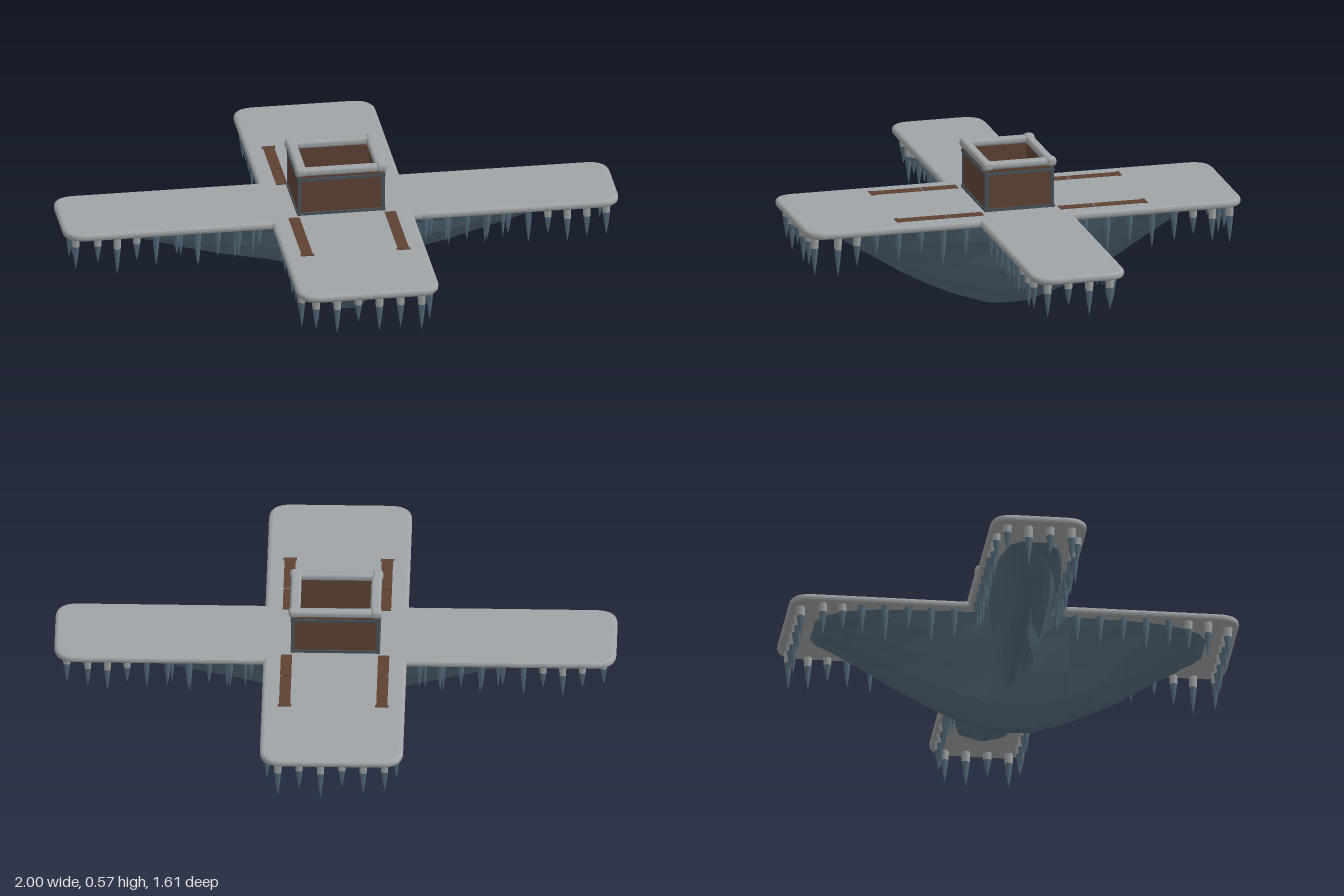
import * as THREE from 'three';
import { mergeGeometries } from 'three/addons/utils/BufferGeometryUtils.js';
import { RoundedBoxGeometry } from 'three/addons/geometries/RoundedBoxGeometry.js';

const DECK_LOW = 0.357;

// small seeded generator, 0..1
function seeded(seed) {
  return () => {
    seed = (seed * 16807) % 2147483647;
    return seed / 2147483647;
  };
}

// cross outline with rounded outer corners
function crossShape(ax, az, bx, bz, r) {
  const s = new THREE.Shape();
  s.moveTo(bx, -az);
  s.lineTo(ax - r, -az);
  s.quadraticCurveTo(ax, -az, ax, -az + r);
  s.lineTo(ax, az - r);
  s.quadraticCurveTo(ax, az, ax - r, az);
  s.lineTo(bx, az);
  s.lineTo(bx, bz - r);
  s.quadraticCurveTo(bx, bz, bx - r, bz);
  s.lineTo(-bx + r, bz);
  s.quadraticCurveTo(-bx, bz, -bx, bz - r);
  s.lineTo(-bx, az);
  s.lineTo(-ax + r, az);
  s.quadraticCurveTo(-ax, az, -ax, az - r);
  s.lineTo(-ax, -az + r);
  s.quadraticCurveTo(-ax, -az, -ax + r, -az);
  s.lineTo(-bx, -az);
  s.lineTo(-bx, -bz + r);
  s.quadraticCurveTo(-bx, -bz, -bx + r, -bz);
  s.lineTo(bx - r, -bz);
  s.quadraticCurveTo(bx, -bz, bx, -bz + r);
  s.closePath();
  return s;
}

// faceted keel: half stations are [distance, half width, depth], mirrored end to end
function keelGeometry(half, power, seed) {
  const rand = seeded(seed);
  const stations = [
    ...half.map(([d, w, h]) => [-d, w, h]),
    ...half.slice(0, -1).reverse(),
  ];
  const across = [-1, -0.85, -0.62, -0.36, -0.1, 0.1, 0.36, 0.62, 0.85, 1];
  const n = across.length, pos = [], idx = [];
  stations.forEach(([d, w, h], i) => across.forEach((t, j) => {
    const rim = j === 0 || j === n - 1;
    const bump = rim || h === 0 ? 0 : (rand() - 0.5) * 0.014;
    const drop = h * (1 - Math.max(0, Math.abs(t) - 0.08) ** power / 0.92 ** power);
    pos.push(t * w + bump, Math.max(0, DECK_LOW - drop + bump * 0.4), d + bump);
    if (i < stations.length - 1 && j < n - 1) {
      const a = i * n + j, b = a + 1, c = a + n, e = c + 1;
      idx.push(a, b, c, b, e, c);
    }
  }));
  const g = new THREE.BufferGeometry();
  g.setAttribute('position', new THREE.Float32BufferAttribute(pos, 3));
  g.setIndex(idx);
  const flat = g.toNonIndexed();
  flat.computeVertexNormals();
  return flat;
}

export function createModel() {
  const model = new THREE.Group();
  const mat = (name, color) => {
    const m = new THREE.MeshStandardMaterial({ color });
    m.name = name;
    return m;
  };
  const stone = mat('pale grey', 0x9fa3a5);
  const ice = mat('slate blue', 0x536a7a);
  const wood = mat('brown wood', 0x5e4233);
  const iron = mat('dark iron', 0x48535b);

  const add = (name, geometry, material, x = 0, y = 0, z = 0, parent = model) => {
    const m = new THREE.Mesh(geometry, material);
    m.name = name;
    m.position.set(x, y, z);
    parent.add(m);
    return m;
  };
  const box = (name, w, h, d, material, x, y, z, parent) =>
    add(name, new THREE.BoxGeometry(w, h, d), material, x, y, z, parent);

  // cross-shaped deck with softened edge
  const deck = new THREE.ExtrudeGeometry(crossShape(1, 0.172, 0.255, 0.805, 0.08), {
    depth: 0.006, bevelEnabled: true, bevelThickness: 0.011, bevelSize: 0.014,
    bevelOffset: -0.014, bevelSegments: 3, curveSegments: 8,
  });
  deck.rotateX(-Math.PI / 2);
  add('deck', deck, stone, 0, DECK_LOW + 0.011, 0);

  // long and crossing keels
  add('longKeel', keelGeometry([
    [0.7, 0.08, 0], [0.67, 0.13, 0.035], [0.6, 0.175, 0.085], [0.5, 0.2, 0.15],
    [0.4, 0.21, 0.21], [0.3, 0.215, 0.265], [0.2, 0.22, 0.31], [0.08, 0.22, 0.352], [0, 0.22, 0.357],
  ], 1.4, 71), ice);
  add('crossKeel', keelGeometry([
    [0.83, 0.05, 0], [0.8, 0.085, 0.025], [0.7, 0.11, 0.07], [0.55, 0.125, 0.112],
    [0.4, 0.13, 0.15], [0.25, 0.13, 0.19], [0.12, 0.13, 0.224], [0, 0.13, 0.23],
  ], 1.5, 913), ice).rotation.y = Math.PI / 2;

  // icicles around the deck edge, each with a pale root and a slate tip
  const rand = seeded(4217);
  const roots = [], tips = [];
  const lathe = (points, x, z) => {
    const g = new THREE.LatheGeometry(points.map(([r, y]) => new THREE.Vector2(r, y)), 6);
    g.translate(x, DECK_LOW, z);
    return g;
  };
  const icicle = (x, z, length, r, pale) => {
    const neck = [r * 0.9, -length * 0.3];
    (pale ? roots : tips).push(lathe([neck, [r, 0]], x, z));
    tips.push(lathe([[0.0005, -length], [r * 0.5, -length * 0.68], neck], x, z));
  };
  const row = (x0, z0, x1, z1, spacing, r, size, pale) => {
    const n = Math.round(Math.hypot(x1 - x0, z1 - z0) / spacing);
    for (let i = 0; i <= n; i++) {
      const t = i / n;
      const length = ((i % 2 ? 0.115 : 0.085) + rand() * 0.04) * size;
      icicle(x0 + (x1 - x0) * t, z0 + (z1 - z0) * t, length, r, pale);
    }
  };
  for (const s of [-1, 1]) {
    row(s * 0.955, -0.115, s * 0.955, 0.115, 0.075, 0.016, 1.05, true);
    row(-0.19, s * 0.765, 0.19, s * 0.765, 0.075, 0.016, 1.05, true);
    for (const q of [-1, 1]) {
      row(s * 0.74, q * 0.145, s * 0.88, q * 0.145, 0.07, 0.015, 1, true);
      row(s * 0.3, q * 0.145, s * 0.67, q * 0.145, 0.075, 0.013, 0.85, false);
      row(s * 0.32, q * 0.135, s * 0.58, q * 0.135, 0.065, 0.009, 0.9, false);
      row(s * 0.23, q * 0.62, s * 0.23, q * 0.69, 0.07, 0.015, 1, true);
      row(s * 0.23, q * 0.22, s * 0.23, q * 0.55, 0.08, 0.013, 0.9, false);
    }
  }
  add('icicleRoots', mergeGeometries(roots), stone);
  add('icicleTips', mergeGeometries(tips), ice);

  // open crate in the middle
  const crate = new THREE.Group();
  crate.name = 'crate';
  model.add(crate);
  for (const s of [-1, 1]) {
    box('crateLongWall', 0.31, 0.16, 0.02, wood, 0, 0.465, s * 0.115, crate);
    box('crateShortWall', 0.02, 0.16, 0.21, wood, s * 0.145, 0.465, 0, crate);
    for (const y of [0.392, 0.525]) {
      box('crateLongBand', 0.318, 0.01, 0.008, iron, 0, y, s * 0.125, crate);
      box('crateShortBand', 0.008, 0.01, 0.256, iron, s * 0.155, y, 0, crate);
    }
    for (const q of [-1, 1]) {
      box('cornerPost', 0.012, 0.15, 0.012, iron, s * 0.151, 0.46, q * 0.121, crate);
    }
    // frosted rim with softly swollen corners
    add('longRim', new RoundedBoxGeometry(0.32, 0.028, 0.034, 3, 0.011), stone, 0, 0.552, s * 0.116, crate);
    add('shortRim', new RoundedBoxGeometry(0.038, 0.026, 0.25, 3, 0.011), stone, s * 0.143, 0.553, 0, crate);
    for (const q of [-1, 1]) {
      add('rimCorner', new RoundedBoxGeometry(0.04, 0.034, 0.038, 3, 0.013), stone,
        s * 0.146, 0.554, q * 0.117, crate);
    }
  }

  // wooden runners set in the deck
  for (const s of [-1, 1]) {
    for (const q of [-1, 1]) {
      box('runnerNear', 0.04, 0.006, 0.127, wood, s * 0.173, 0.384, q * 0.2045);
      box('runnerFar', 0.04, 0.006, 0.178, wood, s * 0.173, 0.384, q * 0.361);
      box('runnerEnd', 0.048, 0.007, 0.014, wood, s * 0.173, 0.384, q * 0.455);
    }
  }
  return model;
}
